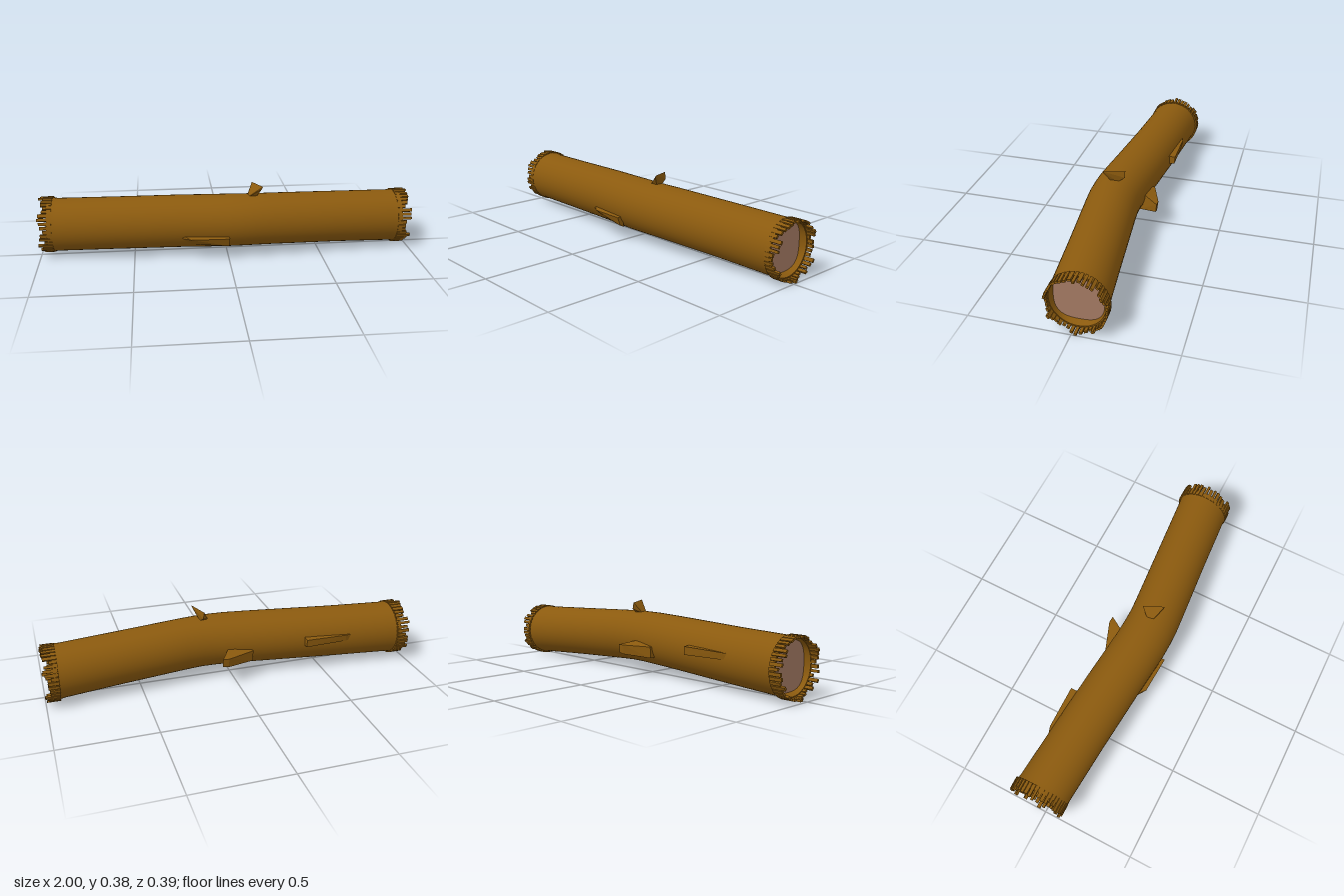
import * as THREE from 'three';
import { ConvexGeometry } from 'three/addons/geometries/ConvexGeometry.js';

const SIDES = 44;
const bark = new THREE.MeshStandardMaterial({ color: 0x8b5a0e });
bark.name = 'bark brown';
const wood = new THREE.MeshStandardMaterial({ color: 0xa47a63 });
wood.name = 'pale wood';

// Log axis as stations: x, centre y, centre z, radius
const AXIS = [
  [-1, 0.162, -0.043, 0.149], [-0.97, 0.162, -0.042, 0.148], [-0.9, 0.162, -0.036, 0.142],
  [-0.6, 0.169, -0.012, 0.141], [-0.25, 0.179, 0.02, 0.141], [-0.1, 0.182, 0.036, 0.141],
  [0, 0.184, 0.045, 0.141], [0.08, 0.185, 0.049, 0.14], [0.16, 0.185, 0.049, 0.139],
  [0.25, 0.183, 0.042, 0.139], [0.6, 0.17, 0.011, 0.139], [0.9, 0.157, -0.014, 0.141],
  [0.96, 0.154, -0.018, 0.147], [1, 0.153, -0.02, 0.148],
];

function station(x) {
  let i = 0;
  while (i < AXIS.length - 2 && AXIS[i + 1][0] < x) i++;
  const a = AXIS[i], b = AXIS[i + 1], t = (x - a[0]) / (b[0] - a[0]);
  const [, y, z, r] = a.map((v, k) => v + (b[k] - v) * t);
  return { y, z, r };
}

// Ring of points round the axis; power 2 is a circle, higher is a rounded square
function ring(x, scale = 1, power = 2) {
  const { y, z, r } = station(x), pts = [];
  for (let j = 0; j < SIDES; j++) {
    const a = (j / SIDES) * Math.PI * 2, c = Math.cos(a), s = Math.sin(a);
    const k = (r * scale) / Math.pow(Math.abs(c) ** power + Math.abs(s) ** power, 1 / power);
    pts.push([x, y + k * c, z + k * s]);
  }
  return pts;
}

// Skin a list of rings
function loft(rings) {
  const index = [];
  for (let i = 0; i < rings.length - 1; i++) {
    for (let j = 0; j < SIDES; j++) {
      const k = (j + 1) % SIDES;
      const a = i * SIDES + j, b = i * SIDES + k, c = a + SIDES, d = b + SIDES;
      index.push(a, b, c, b, d, c);
    }
  }
  const geo = new THREE.BufferGeometry();
  geo.setAttribute('position', new THREE.Float32BufferAttribute(rings.flat(2), 3));
  geo.setIndex(index);
  geo.computeVertexNormals();
  return geo;
}

function seeded(seed) {
  return () => (seed = (seed * 16807) % 2147483647) / 2147483647;
}

export function createModel() {
  const group = new THREE.Group();
  const add = (name, geo, mat, parent = group) => {
    const mesh = new THREE.Mesh(geo, mat);
    mesh.name = name;
    parent.add(mesh);
    return mesh;
  };
  const hull = (name, pts) =>
    add(name, new ConvexGeometry(pts.map((p) => new THREE.Vector3(...p))), bark);

  // Outer bark, bent near the middle
  const RIM = 0.95, CAP = 0.92;
  const xs = [-RIM, ...AXIS.map((s) => s[0]).filter((x) => Math.abs(x) < RIM), RIM];
  add('barkTube', loft(xs.map((x) => ring(x))), bark);

  const rand = seeded(71);
  for (const side of [-1, 1]) {
    const label = side < 0 ? 'right' : 'left';
    const order = (list) => (side < 0 ? list.reverse() : list);

    // Rim edge, hollow mouth and recessed sawn face
    add(label + 'Rim', loft(order([ring(side * RIM), ring(side * RIM, 0.92)])), bark);
    add(label + 'Mouth', loft(order([ring(side * RIM, 0.92), ring(side * CAP, 0.84, 2.9)])), bark);
    add(label + 'SawnFace', loft(order([ring(side * CAP, 0.84, 2.9), ring(side * CAP, 0, 2.9)])), wood);

    // Splintered bark teeth round the rim
    const teeth = new THREE.Group();
    teeth.name = label + 'Splinters';
    group.add(teeth);
    const count = 42, start = 0.925;
    for (let i = 0; i < count; i++) {
      const a = (i / count) * Math.PI * 2;
      const end = i % 7 === 0 ? 1 : 0.963 + 0.035 * rand();
      const x = side * (start + end) / 2;
      const { y, z, r } = station(side * 0.98);
      const tooth = add('splinter', new THREE.BoxGeometry(end - start, 0.011, 0.013 + 0.006 * rand()), bark, teeth);
      tooth.position.set(x, y + Math.cos(a) * (r - 0.004), z + Math.sin(a) * (r - 0.004));
      tooth.rotation.x = a;
    }
  }

  // Broken twig on top
  hull('topTwig', [
    [0.11, 0.315, 0.06], [0.11, 0.315, 0.03], [0.155, 0.315, 0.025], [0.155, 0.315, 0.06],
    [0.14, 0.375, -0.012], [0.147, 0.34, -0.012], [0.185, 0.381, 0.094], [0.18, 0.369, 0.094],
  ]);

  // Pointed stub at the back
  hull('backStub', [
    [-0.1, 0.165, -0.09], [-0.1, 0.165, -0.115], [-0.1, 0.105, -0.112], [-0.1, 0.105, -0.07],
    [0.03, 0.185, -0.085], [0.03, 0.09, -0.06],
    [0.05, 0.165, -0.17], [0.085, 0.165, -0.168], [0.085, 0.12, -0.165], [0.055, 0.115, -0.165],
  ]);

  // Lifted bark chips on the front and back
  hull('frontChip', [
    [-0.26, 0.13, 0.145], [-0.24, 0.142, 0.15], [-0.2, 0.085, 0.13], [-0.2, 0.132, 0.185],
    [0, 0.135, 0.197], [0, 0.088, 0.18], [0, 0.077, 0.155], [0, 0.14, 0.16],
  ]);
  hull('backChip', [
    [-0.68, 0.2, -0.145], [-0.68, 0.175, -0.145], [-0.62, 0.205, -0.164], [-0.62, 0.17, -0.16],
    [-0.39, 0.207, -0.165], [-0.39, 0.165, -0.162], [-0.39, 0.21, -0.12], [-0.39, 0.16, -0.12],
  ]);

  return group;
}
